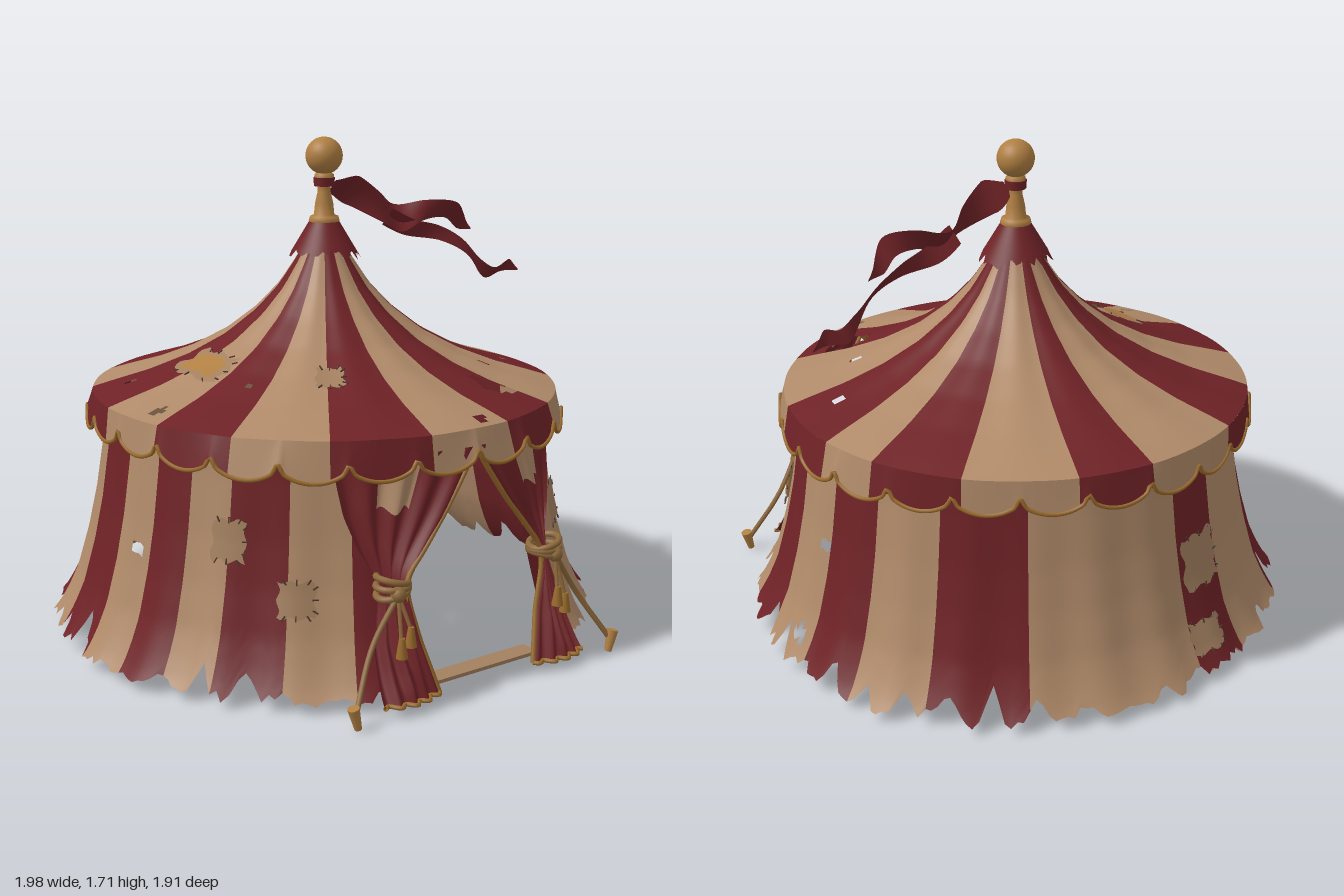
import * as THREE from 'three';
import { mergeGeometries } from 'three/addons/utils/BufferGeometryUtils.js';

const D = Math.PI / 180;
const mat = (name, color) => {
  const m = new THREE.MeshStandardMaterial({ color, side: THREE.DoubleSide });
  m.name = name;
  return m;
};
const hash = (n) => { const s = Math.sin(n * 127.1 + 11.7) * 43758.5453; return s - Math.floor(s); };

// piecewise linear lookup in [[key, value], ...] with rising keys
function look(table, k) {
  for (let i = 1; i < table.length; i++) {
    const [a, va] = table[i - 1], [b, vb] = table[i];
    if (k <= b) return va + (vb - va) * Math.max(0, (k - a) / (b - a));
  }
  return table[table.length - 1][1];
}

// surface patch from fn(u, v) -> Vector3, leaving out cells inside a hole
function grid(fn, nu, nv, holes = []) {
  const pos = [], idx = [], P = [];
  for (let j = 0; j <= nv; j++) for (let i = 0; i <= nu; i++) {
    const p = fn(i / nu, j / nv);
    P.push(p); pos.push(p.x, p.y, p.z);
  }
  const c = new THREE.Vector3();
  for (let j = 0; j < nv; j++) for (let i = 0; i < nu; i++) {
    const a = j * (nu + 1) + i, b = a + nu + 1;
    c.copy(P[a]).add(P[b + 1]).multiplyScalar(0.5);
    if (holes.some(([h, r]) => h.distanceTo(c) < r)) continue;
    idx.push(a, b, a + 1, a + 1, b, b + 1);
  }
  const g = new THREE.BufferGeometry();
  g.setAttribute('position', new THREE.Float32BufferAttribute(pos, 3));
  g.setIndex(idx);
  g.computeVertexNormals();
  return g;
}

const WALL = [[0.02, 1.0], [0.06, 0.965], [0.12, 0.93], [0.2, 0.893], [0.35, 0.85], [0.5, 0.818], [0.7, 0.788], [0.85, 0.775]];
const ROOF = [[0.06, 1.36], [0.1, 1.29], [0.16, 1.2], [0.24, 1.115], [0.35, 1.03], [0.48, 0.96], [0.62, 0.905], [0.75, 0.865], [0.82, 0.842]];
// angles are in degrees, from the front (+z) towards +x
const polar = (deg, r, y, sz = 1) => new THREE.Vector3(r * Math.sin(deg * D), y, r * Math.cos(deg * D) * sz);
const wallAt = (deg, y, lift = 0) => polar(deg, look(WALL, y) + lift + 0.008 * Math.sin(deg * 24 * D) * (1 - y), y, 0.96);
const roofAt = (deg, r, lift = 0) => polar(deg, r, look(ROOF, r) + lift - 0.008 * Math.sin(r * 3.6) * (1 - Math.cos(deg * 16 * D)) / 2);
const hem = (deg) => {
  const d = (deg + 720) % 360, k = Math.floor(d / 9), f = Math.abs((d / 9 - k) * 2 - 1);
  const notch = Math.max(0, 1 - f * 1.6) * Math.pow(hash(k), 2) * 0.12;
  return 0.02 + 0.05 * hash(Math.round(d / 1.25) * 3.1) * hash(k + 50) + 0.02 * hash(k + 9) + notch;
};

export function createModel() {
  const root = new THREE.Group();
  root.name = 'stripedTent';
  const red = mat('red cloth', 0x6e2226), cream = mat('cream cloth', 0xb08a69), gold = mat('gold trim', 0x9a6b2c);
  const wood = mat('polished wood', 0xb07f42), patchMat = mat('patch cloth', 0xa3805f), dark = mat('dark thread', 0x4d382c);
  const rope = mat('rope', 0x8d683a);
  const add = (name, geo, m, parent = root) => {
    const o = new THREE.Mesh(geo, m);
    o.name = name; parent.add(o);
    return o;
  };
  const tube = (name, pts, r, m, closed = false, n = 40) =>
    add(name, new THREE.TubeGeometry(new THREE.CatmullRomCurve3(pts, closed), n, r, 6, closed), m);

  // wall stripes with a ragged hem; the gap at the front is the doorway
  const bounds = [20, 29, 53, 69, 85, 100, 117, 138, 177, 191, 215, 237, 254, 270, 282, 293, 304, 318, 332, 340];
  const wallHoles = [[83, 0.45, 0.03], [81, 0.13, 0.03], [278, 0.42, 0.025]].map(([a, y, r]) => [wallAt(a, y), r]);
  const walls = [[], []];
  for (let s = 0; s < bounds.length - 1; s++) {
    const a = bounds[s], w = bounds[s + 1] - a;
    walls[s % 2].push(grid((u, v) => {
      const t = a + w * u, y0 = hem(t);
      return wallAt(t, y0 + (0.845 - y0) * Math.pow(1 - v, 1.2));
    }, Math.round(w / 1.25), 24, wallHoles));
  }
  add('redWallStripes', mergeGeometries(walls[0]), red);
  add('creamWallStripes', mergeGeometries(walls[1]), cream);
  add('backLiner', grid((u, v) => {
    const t = 163 + 34 * u, y0 = hem(t);
    return wallAt(t, y0 + (0.8 - y0) * (1 - v), -0.01);
  }, 27, 20), cream);

  // roof and scalloped valance, sixteen uneven stripes
  const roofBounds = [-11, 11, 32, 62, 85, 100, 122, 148, 166, 194, 219, 240, 263, 284, 304, 326, 349];
  const roofHoles = [[0.29, 0.57, 0.055], [0.26, 0.53, 0.03], [0.34, 0.6, 0.03], [-0.74, 0.11, 0.025], [0.64, 0.22, 0.022], [0.07, 0.77, 0.022], [-0.65, -0.24, 0.015], [-0.48, 0.25, 0.015], [0.42, 0.38, 0.015]]
    .map(([x, z, r]) => [new THREE.Vector3(x, look(ROOF, Math.hypot(x, z)), z), r]);
  const edgeAt = (t) => polar(t, 0.84 + 0.008 * Math.sin(t * 5 * D) + 0.01 * Math.cos(t * D), 0.777 - 0.058 * Math.sqrt(Math.abs(Math.sin(12 * t * D))) + 0.008 * Math.sin(t * 3 * D));
  const roofs = [[], []], valances = [[], []];
  for (let s = 0; s < 16; s++) {
    const a = roofBounds[s], w = roofBounds[s + 1] - a;
    roofs[s % 2].push(grid((u, v) => roofAt(a + w * u, 0.06 + 0.76 * v), 18, 36, roofHoles));
    valances[s % 2].push(grid((u, v) => {
      const t = a + w * u;
      return roofAt(t, 0.82).lerp(edgeAt(t), v);
    }, 24, 4));
  }
  [['cream', cream], ['red', red]].forEach(([n, m], i) => {
    add(n + 'RoofStripes', mergeGeometries(roofs[i]), m);
    add(n + 'Valance', mergeGeometries(valances[i]), m);
  });
  tube('valanceTrim', Array.from({ length: 288 }, (_, i) => edgeAt(i * 1.25)), 0.007, gold, true, 480);

  // ragged collar, pole and ball at the peak
  add('peakCollar', grid((u, v) => {
    const ragged = v * (0.8 + 0.35 * hash(Math.round(u * 48) % 48));
    return polar(u * 360, 0.045 + 0.075 * ragged, 1.43 - 0.125 * ragged);
  }, 48, 4), red);
  const profile = [[0, 1.4], [0.05, 1.405], [0.054, 1.42], [0.05, 1.435], [0.036, 1.44], [0.032, 1.48], [0.023, 1.52], [0.023, 1.55], [0.034, 1.56], [0.034, 1.58], [0.02, 1.59]];
  add('pole', new THREE.LatheGeometry(profile.map((p) => new THREE.Vector2(...p)), 24), wood);
  add('ball', new THREE.SphereGeometry(0.065, 32, 20), wood).position.y = 1.645;
  add('flagKnot', new THREE.CylinderGeometry(0.038, 0.036, 0.03, 16), red).position.y = 1.555;

  // flag splitting into two tails: points are x, y, z and half height
  const ribbon = (name, pts) => {
    const c = new THREE.CatmullRomCurve3(pts.map(([x, y, z]) => new THREE.Vector3(x, y, z)));
    const h = pts.map((p, i) => [i / (pts.length - 1), p[3]]);
    add(name, grid((u, v) => {
      const p = c.getPoint(u), k = look(h, u) * (1 - 2 * v);
      return p.add(new THREE.Vector3(k * 0.25, k, k * 0.8 * Math.sin(u * 9 + 1)));
    }, 40, 4), red);
  };
  ribbon('flagUpperTail', [[0.02, 1.54, 0.02, 0.02], [0.09, 1.525, 0.03, 0.05], [0.2, 1.46, 0.06, 0.048], [0.3, 1.41, 0.04, 0.045], [0.4, 1.435, 0.07, 0.035], [0.5, 1.43, 0.09, 0.03], [0.56, 1.38, 0.075, 0.025], [0.62, 1.35, 0.06, 0.003]]);
  ribbon('flagLowerTail', [[0.24, 1.42, 0.05, 0.03], [0.34, 1.375, 0.05, 0.03], [0.47, 1.345, 0.07, 0.025], [0.57, 1.29, 0.09, 0.025], [0.64, 1.21, 0.1, 0.025], [0.71, 1.18, 0.08, 0.02], [0.79, 1.2, 0.07, 0.024], [0.86, 1.175, 0.06, 0.003]]);

  // door curtains, gathered by a rope and pegged out to the side
  const INNER = [[0.03, 0.2], [0.2, 0.245], [0.33, 0.28], [0.38, 0.285], [0.43, 0.262], [0.5, 0.205], [0.6, 0.125], [0.7, 0.055], [0.79, 0]];
  const OUTER = [[0.03, 0.42], [0.2, 0.395], [0.33, 0.36], [0.38, 0.355], [0.43, 0.37], [0.5, 0.4], [0.6, 0.43], [0.79, 0.45]];
  const FRONT = [[0.03, 0.91], [0.2, 0.865], [0.38, 0.845], [0.79, 0.83]];
  for (const side of [-1, 1]) {
    const n = side < 0 ? 'right' : 'left';
    const at = (u, y, lift = 0) => {
      const x = look(INNER, y) + (look(OUTER, y) - look(INNER, y)) * u, R = look(WALL, y);
      const wallZ = 0.96 * Math.sqrt(R * R - x * x);
      const z = Math.min(look(FRONT, y) + 0.03 * Math.sin(u * Math.PI), wallZ + 0.08 - 0.03 * u) + 0.012 * Math.sin(u * 26) + lift;
      return new THREE.Vector3(side * x, y, z);
    };
    add(n + 'Curtain', grid((u, v) => at(u, 0.03 + 0.76 * (1 - v)), 36, 30), red);
    tube(n + 'CurtainTrim', Array.from({ length: 20 }, (_, i) => at(0, 0.79 - i * 0.04, 0.004)), 0.009, gold);
    tube(n + 'CurtainHem', Array.from({ length: 24 }, (_, i) => at(i / 23, 0.032, 0.004)), 0.008, gold);
    for (const k of [0, 1, 2]) {
      const tie = add(n + 'Tie', new THREE.TorusGeometry(0.05, 0.011, 8, 24), rope);
      tie.position.set(side * 0.32, 0.365 + 0.02 * k, 0.82);
      tie.rotation.set(Math.PI / 2, side * (k - 1) * 0.25, 0);
      tie.scale.set(1.05, 1, 1);
    }
    const knot = new THREE.Vector3(side * 0.33, 0.37, 0.865);
    add(n + 'Knot', new THREE.SphereGeometry(0.026, 12, 8), rope).position.copy(knot);
    for (const [dx, y] of [[-0.02, 0.27], [0.015, 0.24]]) {
      tube(n + 'TasselCord', [knot, new THREE.Vector3(side * (0.33 + dx), y, 0.9)], 0.007, rope, false, 6);
      add(n + 'Tassel', new THREE.CylinderGeometry(0.01, 0.02, 0.065, 10), gold).position.set(side * (0.33 + dx), y - 0.03, 0.905);
    }
    tube(n + 'GuyRope', [knot, new THREE.Vector3(side * 0.43, 0.22, 0.865), new THREE.Vector3(side * 0.535, 0.05, 0.925)], 0.009, rope, false, 20);
    const peg = add(n + 'Peg', new THREE.CylinderGeometry(0.02, 0.012, 0.075, 10), wood);
    peg.position.set(side * 0.54, 0.036, 0.93);
    peg.rotation.z = -side * 0.25;
    // patch sewn on the curtain
    add(n + 'CurtainPatch', grid((u, v) => at(0.4 + 0.3 * u, 0.615 + 0.15 * v + 0.012 * Math.sin(u * 9), 0.008), 16, 6), cream);
  }
  add('doorSill', new THREE.BoxGeometry(0.5, 0.012, 0.07), patchMat).position.set(0, 0.045, 0.845);

  // sewn patches with stitches round the edge
  const patch = (name, surf, a, b, wa, wb, lifts = [0.008]) => {
    const f = (u, v, lift, k = 1) => surf(a + wa * (u - 0.5) * k, b + wb * (v - 0.5) * k, lift);
    for (const lift of lifts)
      add(name, grid((u, v) => f(u + 0.05 * Math.sin(v * 11 + a), v + 0.05 * Math.sin(u * 13 + b * 9), lift), 10, 10), patchMat);
    for (let i = 0; i < 12; i++) {
      const q = (i % 3 + 0.5) / 3, e = [[q, 0], [1, q], [q, 1], [0, q]][i >> 2];
      const st = add('stitch', new THREE.BoxGeometry(0.004, 0.004, 0.02), dark);
      st.position.copy(f(...e, 0.01));
      st.lookAt(f(...e, 0.01, 1.2));
    }
  };
  // wall patches show on both faces of the cloth
  [[43, 0.44, 11, 0.14], [304, 0.5, 8, 0.13], [320, 0.33, 8, 0.11], [184, 0.4, 12, 0.18], [181, 0.15, 9, 0.1]]
    .forEach((p) => patch('wallPatch', wallAt, ...p, [0.008, -0.018]));
  patch('roofPatch', roofAt, -33, 0.48, 11, 0.09);
  patch('roofPatch', roofAt, -92, 0.49, 29, 0.13);
  add('roofGoldPatch', grid((u, v) => roofAt(-103 + 22 * u, 0.45 + 0.085 * v + 0.006 * Math.sin(u * 15), 0.013), 12, 6), wood);
  return root;
}
